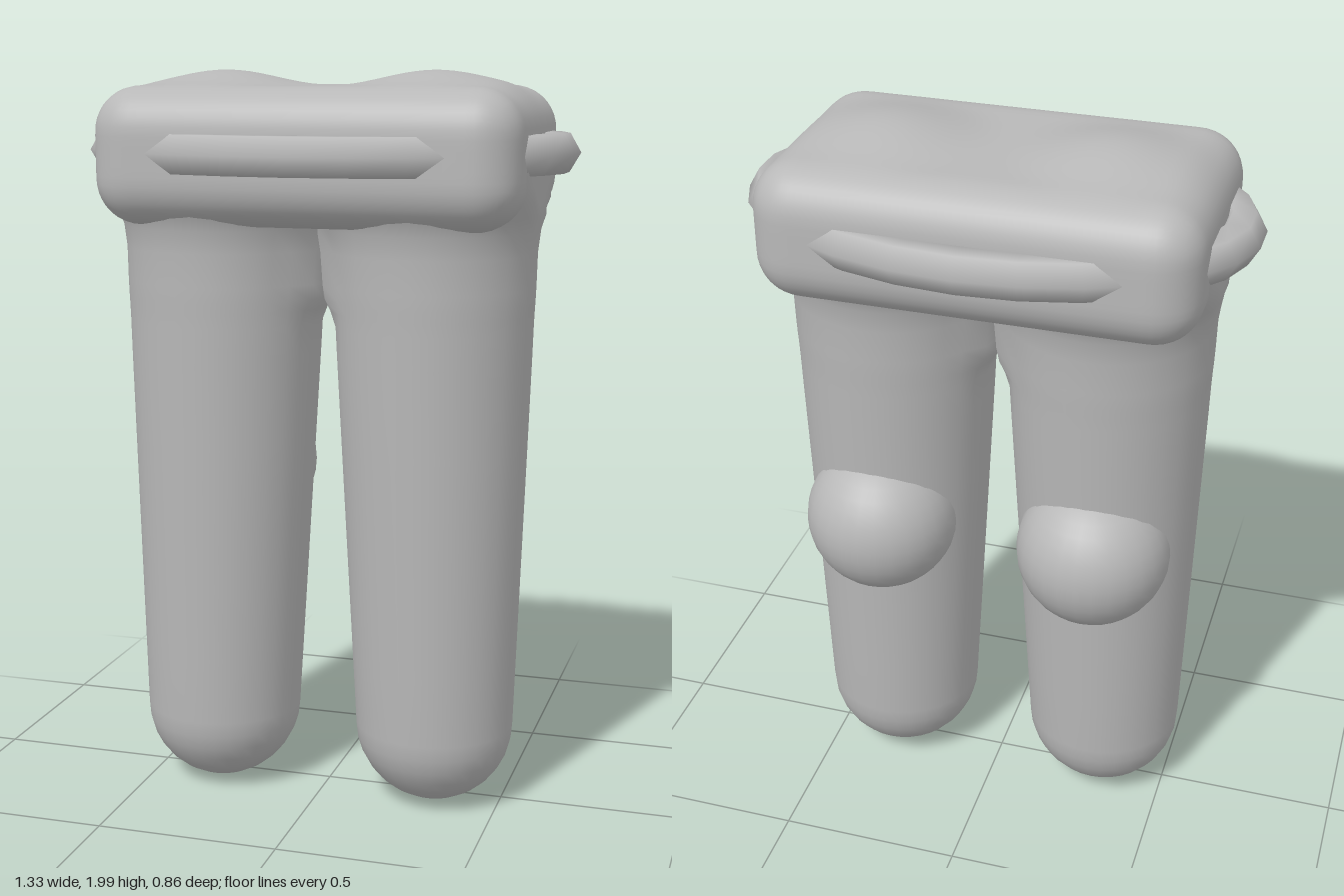
import * as THREE from 'three';
import { mergeVertices } from 'three/addons/utils/BufferGeometryUtils.js';

// Move every vertex by a rule, then weld and smooth
function reshape(geometry, rule) {
  geometry.deleteAttribute('uv');
  geometry.deleteAttribute('normal');
  const pos = geometry.attributes.position;
  const v = new THREE.Vector3();
  for (let i = 0; i < pos.count; i++) {
    v.fromBufferAttribute(pos, i);
    rule(v);
    pos.setXYZ(i, v.x, v.y, v.z);
  }
  const welded = mergeVertices(geometry, 1e-4);
  welded.computeVertexNormals();
  return welded;
}

// Rounded waist block with a soft swell above each leg
function waistGeometry() {
  const half = new THREE.Vector3(0.568, 0.18, 0.345), r = 0.12;
  const inner = half.clone().subScalar(r);
  const box = new THREE.BoxGeometry(half.x * 2, half.y * 2, half.z * 2, 44, 14, 28);
  const core = new THREE.Vector3();
  return reshape(box, (v) => {
    core.copy(v).clamp(inner.clone().negate(), inner);
    v.sub(core).setLength(r).add(core);
    const d = Math.hypot(Math.abs(v.x) - 0.29, v.z);
    if (v.y > 0 && d < 0.28) v.y += 0.02 * (1 + Math.cos(Math.PI * d / 0.28));
  });
}

// Tapered leg with a round foot, flared into the waist and joined at the crotch
function legGeometry(side) {
  const profile = [];
  for (let i = 0; i <= 8; i++) {
    const a = (i / 8) * Math.PI / 2;
    profile.push(new THREE.Vector2(0.218 * Math.sin(a), 0.222 - 0.217 * Math.cos(a)));
  }
  for (let y = 0.4; y < 1.2; y += 0.2) profile.push(new THREE.Vector2(0.218 + 0.043 * (y - 0.222), y));
  for (const [r, y] of [[0.262, 1.25], [0.265, 1.33], [0.267, 1.37], [0.269, 1.4], [0.271, 1.44],
    [0.274, 1.53], [0.282, 1.59], [0.297, 1.63], [0.318, 1.67], [0.335, 1.71], [0.34, 1.75]]) {
    profile.push(new THREE.Vector2(r, y));
  }
  return reshape(new THREE.LatheGeometry(profile, 32), (v) => {
    const t = v.y / 1.55;
    v.x += side * (0.313 - 0.023 * t);
    v.z += 0.022 - 0.016 * Math.min(t, 1);
    const out = Math.min(v.x * side, 0.578);
    const pull = THREE.MathUtils.smoothstep(v.y, 1.33, 1.42) * (1 - THREE.MathUtils.smoothstep(out, 0.02, 0.07));
    v.x = side * THREE.MathUtils.lerp(out, Math.min(out, -0.005), pull);
  });
}

// Oval belt ring with a six-sided section of constant thickness
function beltGeometry() {
  const ring = new THREE.TorusGeometry(1, 0.058, 6, 26);
  ring.rotateX(Math.PI / 2);
  ring.rotateY(Math.PI / 2);
  return reshape(ring, (v) => {
    const len = Math.hypot(v.x, v.z), d = len - 1;
    v.x *= (0.612 + d) / len;
    v.z *= (0.372 + d) / len;
  });
}

export function createModel() {
  const model = new THREE.Group();
  model.name = 'legsAndWaist';
  const grey = new THREE.MeshStandardMaterial({ color: 0xb8b8b8 });
  grey.name = 'plain grey';

  const add = (name, geometry, x = 0, y = 0, z = 0) => {
    const mesh = new THREE.Mesh(geometry, grey);
    mesh.name = name;
    mesh.position.set(x, y, z);
    model.add(mesh);
  };

  add('waist', waistGeometry(), 0, 1.78, 0);
  add('belt', beltGeometry(), 0, 1.79, 0);

  // Legs, each with a ball set into its back
  for (const [label, side] of [['left', 1], ['right', -1]]) {
    add(label + 'Leg', legGeometry(side));
    add(label + 'BackBall', new THREE.SphereGeometry(0.208, 28, 18), side * 0.3, 0.9, -0.147);
  }
  return model;
}
